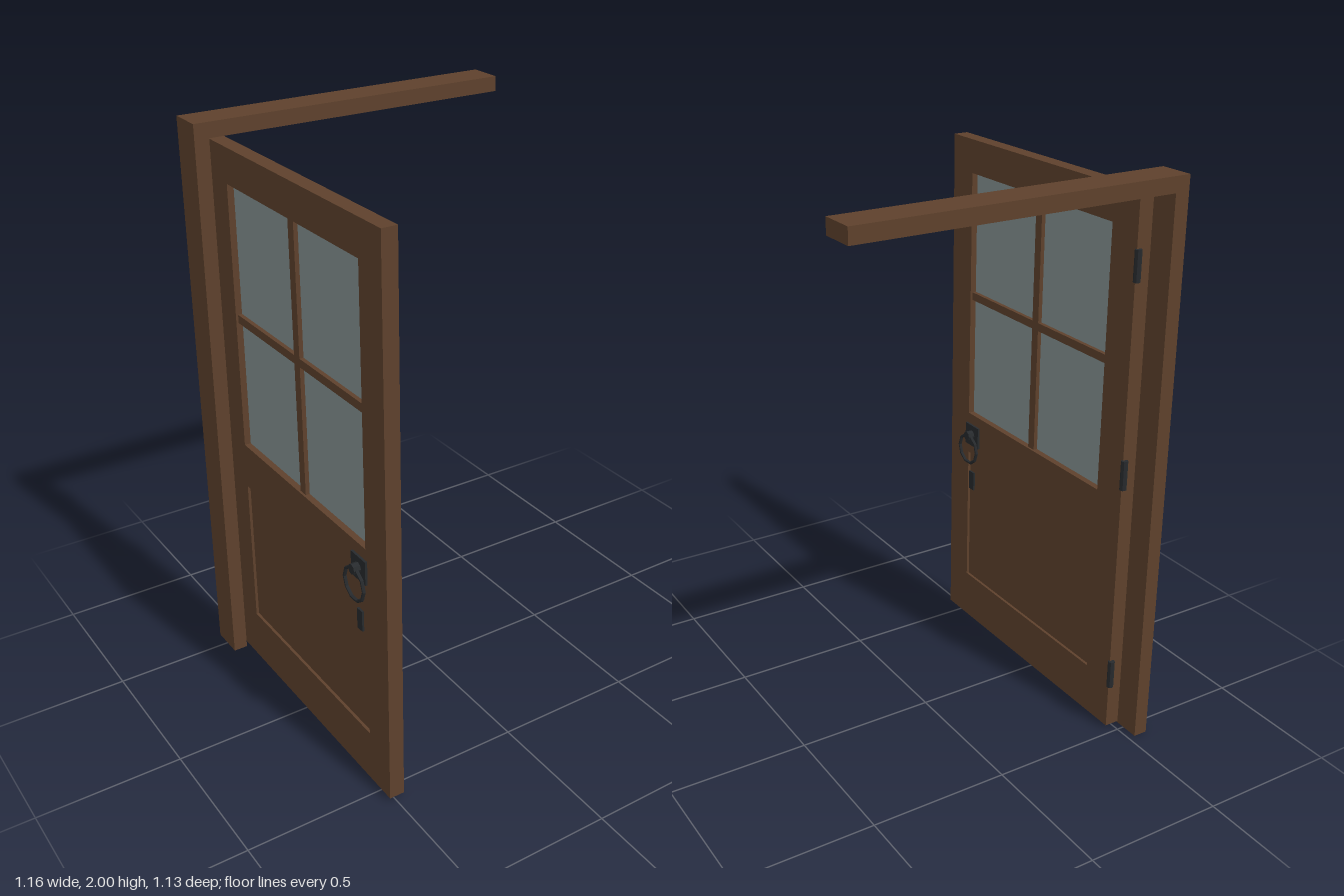
import * as THREE from 'three';

export function createModel() {
  const wood = new THREE.MeshStandardMaterial({ color: 0x5e412c });
  wood.name = 'brown wood';
  const glass = new THREE.MeshStandardMaterial({ color: 0x859292 });
  glass.name = 'grey glass';
  const iron = new THREE.MeshStandardMaterial({ color: 0x272a2d, flatShading: true });
  iron.name = 'black iron';

  const model = new THREE.Group();
  model.name = 'openDoor';
  const add = (parent, name, geometry, material) => {
    const mesh = new THREE.Mesh(geometry, material);
    mesh.name = name;
    parent.add(mesh);
    return mesh;
  };
  // Box given by its lower and upper limits on each axis
  const box = (parent, name, material, [x0, x1], [y0, y1], [z0, z1]) =>
    add(parent, name, new THREE.BoxGeometry(x1 - x0, y1 - y0, z1 - z0), material)
      .position.set((x0 + x1) / 2, (y0 + y1) / 2, (z0 + z1) / 2);

  // Frame: one post and the lintel
  box(model, 'framePost', wood, [-0.578, -0.527], [0, 1.948], [-0.563, -0.44]);
  box(model, 'frameLintel', wood, [-0.578, 0.578], [1.948, 2], [-0.563, 0.44 - 0.88]);

  // Door leaf, swung open along z, with window and panel openings
  const door = new THREE.Group();
  door.name = 'door';
  model.add(door);
  const inner = -0.52, outer = -0.467, middle = (inner + outer) / 2;
  const rect = (target, z0, z1, y0, y1) => {
    target.moveTo(z0, y0).lineTo(z1, y0).lineTo(z1, y1).lineTo(z0, y1).closePath();
    return target;
  };
  const leaf = rect(new THREE.Shape(), -0.474, 0.563, 0.013, 1.942);
  leaf.holes.push(
    rect(new THREE.Path(), -0.35, 0.444, 0.9, 1.823),
    rect(new THREE.Path(), -0.35, 0.444, 0.198, 0.737),
  );
  const leafGeometry = new THREE.ExtrudeGeometry(leaf, { depth: outer - inner, bevelEnabled: false });
  leafGeometry.rotateY(-Math.PI / 2).translate(outer, 0, 0);
  add(door, 'doorLeaf', leafGeometry, wood);

  // Recessed lower panel, window pane and glazing bars
  box(door, 'lowerPanel', wood, [inner + 0.01, outer - 0.01], [0.198, 0.737], [-0.35, 0.444]);
  box(door, 'windowPane', glass, [middle - 0.004, middle + 0.004], [0.9, 1.823], [-0.35, 0.444]);
  box(door, 'verticalBar', wood, [inner + 0.008, outer - 0.008], [0.9, 1.823], [0.03, 0.064]);
  box(door, 'horizontalBarRear', wood, [inner + 0.008, outer - 0.008], [1.351, 1.38], [-0.35, 0.03]);
  box(door, 'horizontalBarFront', wood, [inner + 0.008, outer - 0.008], [1.351, 1.38], [0.064, 0.444]);

  // Hinges
  for (const y of [0.232, 1.003, 1.713]) {
    add(door, 'hinge', new THREE.CylinderGeometry(0.012, 0.012, 0.105, 8), iron)
      .position.set(-0.471, y, -0.477);
  }

  // Ring handle, back plate and lock plate on both faces
  for (const side of [-1, 1]) {
    const handle = new THREE.Group();
    handle.name = side > 0 ? 'leftHandle' : 'rightHandle';
    handle.position.set(side > 0 ? outer : inner, 0, 0.411);
    handle.rotation.y = side * Math.PI / 2;
    door.add(handle);
    box(handle, 'backPlate', iron, [-0.042, 0.042], [0.776, 0.86], [0, 0.008]);
    box(handle, 'lockPlate', iron, [-0.015, 0.015], [0.59, 0.664], [0, 0.007]);
    const boss = add(handle, 'boss', new THREE.CylinderGeometry(0.018, 0.018, 0.032, 8), iron);
    boss.rotation.x = Math.PI / 2;
    boss.position.set(0, 0.822, 0.016);
    add(handle, 'pullRing', new THREE.TorusGeometry(0.057, 0.006, 6, 10), iron)
      .position.set(0, 0.767, 0.023);
  }
  return model;
}
